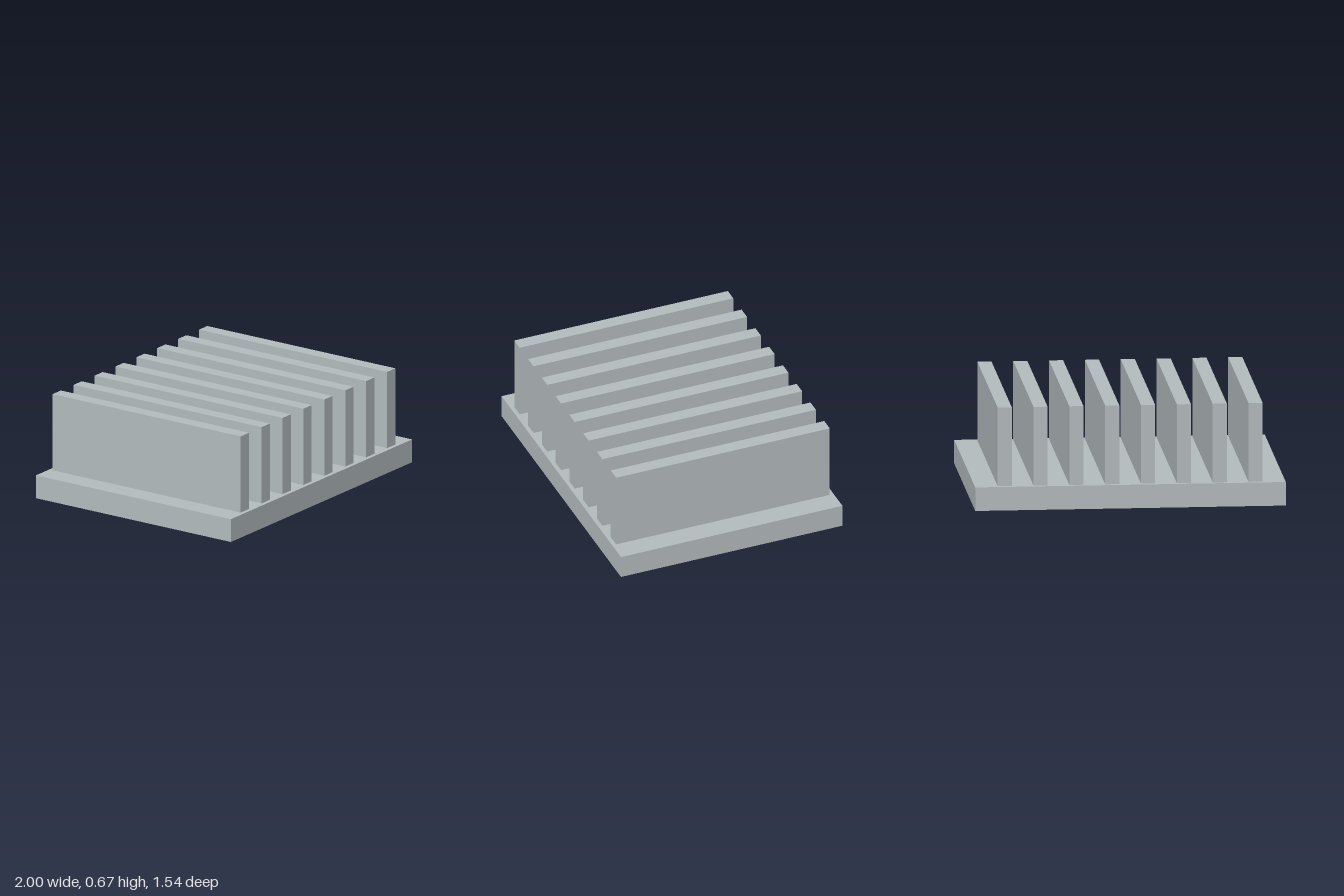
import * as THREE from 'three';

export function createModel() {
  const group = new THREE.Group();
  group.name = 'heatSink';
  const aluminium = new THREE.MeshStandardMaterial({ color: 0xb4bcbe });
  aluminium.name = 'aluminium';

  const baseHeight = 0.154;
  const finTop = 0.669;
  const finCount = 8;
  const finSpacing = 0.2308;

  // base plate
  const base = new THREE.Mesh(new THREE.BoxGeometry(2, baseHeight, 1.538), aluminium);
  base.name = 'basePlate';
  base.position.y = baseHeight / 2;
  group.add(base);

  // row of upright cooling fins
  const finGeometry = new THREE.BoxGeometry(0.091, finTop - baseHeight, 1.483);
  for (let i = 0; i < finCount; i++) {
    const fin = new THREE.Mesh(finGeometry, aluminium);
    fin.name = `fin${i + 1}`;
    fin.position.set((i - (finCount - 1) / 2) * finSpacing, (finTop + baseHeight) / 2, 0);
    group.add(fin);
  }
  return group;
}
